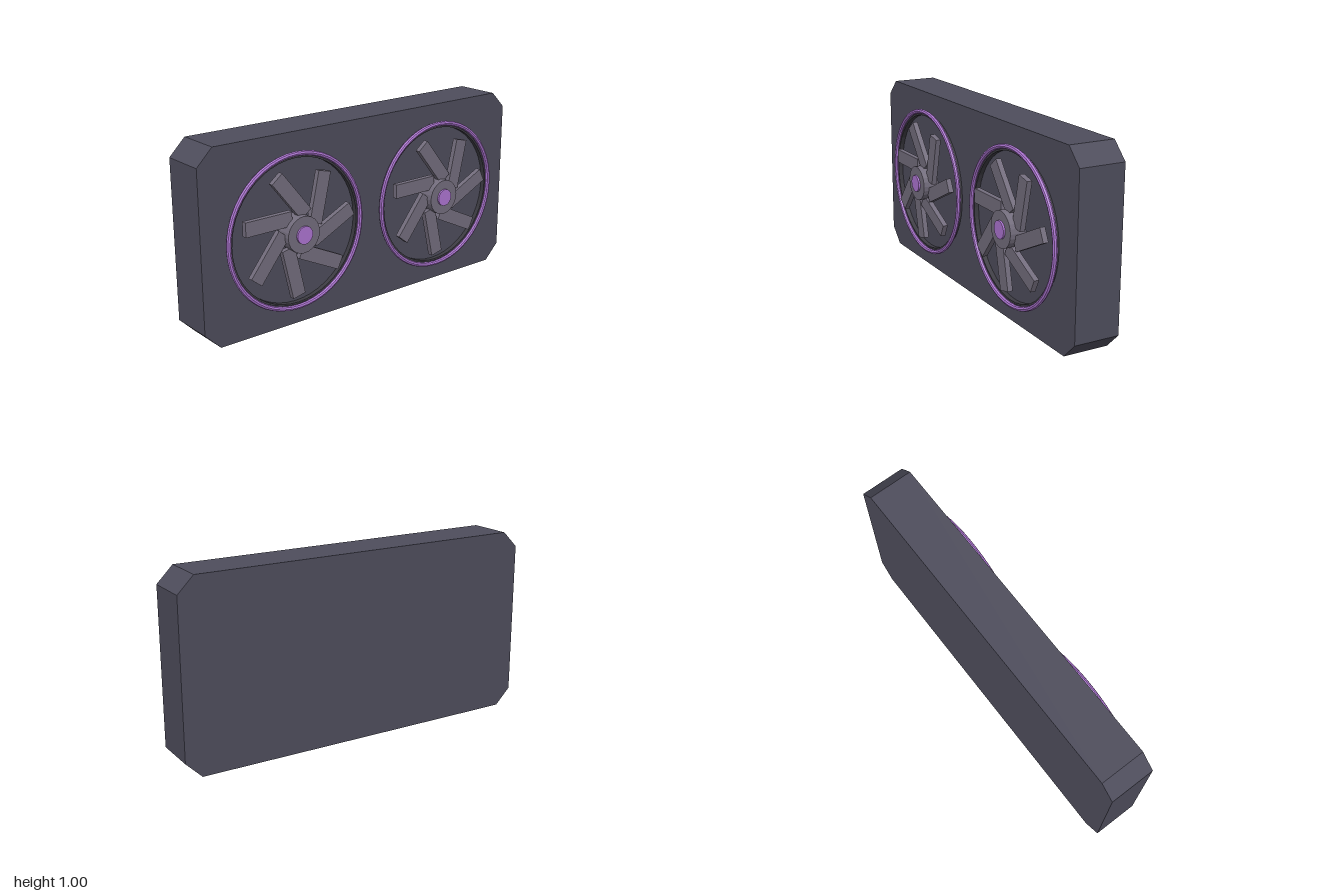
import * as THREE from 'three';

const mat = (name, color) => {
  const m = new THREE.MeshStandardMaterial({ color, flatShading: true });
  m.name = name;
  return m;
};

export function createModel() {
  const shell = mat('slate shell', 0x4e4d5c);
  const grey = mat('blade grey', 0x736d7d);
  const dark = mat('dark shroud', 0x3c3b42);
  const purple = mat('purple accent', 0xad75d2);

  const root = new THREE.Group();
  root.name = 'twinFanUnit';
  const add = (parent, name, geometry, material) => {
    const mesh = new THREE.Mesh(geometry, material);
    mesh.name = name;
    parent.add(mesh);
    return mesh;
  };

  // Round part facing +z, from z0 to z1
  const disc = (radius, z0, z1, sides) =>
    new THREE.CylinderGeometry(radius, radius, z1 - z0, sides)
      .rotateX(Math.PI / 2).translate(0, 0, (z0 + z1) / 2);

  // Slab with chamfered corners
  const c = 0.086;
  const outline = new THREE.Shape([
    [-1 + c, 0], [1 - c, 0], [1, c], [1, 1 - c],
    [1 - c, 1], [-1 + c, 1], [-1, 1 - c], [-1, c],
  ].map(([x, y]) => new THREE.Vector2(x, y)));
  const slab = new THREE.ExtrudeGeometry(outline, { depth: 0.242, bevelEnabled: false });
  add(root, 'body', slab.translate(0, 0, -0.167), shell);

  // Thin open shroud wall, closed section turned around the fan axis
  const wall = [[0.375, 0.07], [0.385, 0.07], [0.385, 0.1], [0.375, 0.1], [0.375, 0.07]]
    .map(([r, z]) => new THREE.Vector2(r, z));

  const BLADES = 7;
  for (const side of [-1, 1]) {
    const fan = new THREE.Group();
    fan.name = side < 0 ? 'rightFan' : 'leftFan';
    fan.position.set(side * 0.47, 0.5, 0);
    root.add(fan);

    add(fan, 'shroud', new THREE.LatheGeometry(wall, 48).rotateX(Math.PI / 2), dark);
    add(fan, 'lightRing',
      new THREE.TorusGeometry(0.3975, 0.0125, 8, 48).translate(0, 0, 0.1045), purple);
    add(fan, 'hub', disc(0.095, 0.07, 0.16, 24), grey);
    add(fan, 'hubCap', disc(0.046, 0.155, 0.17, 24), purple);

    // Straight blades set off to one side of the axis
    for (let i = 0; i < BLADES; i++) {
      const blade = new THREE.BoxGeometry(0.268, 0.075, 0.028).translate(0.182, -0.0855, 0.116);
      add(fan, 'blade' + (i + 1), blade, grey).rotation.z = Math.PI - (i * 2 * Math.PI) / BLADES;
    }
  }
  return root;
}
